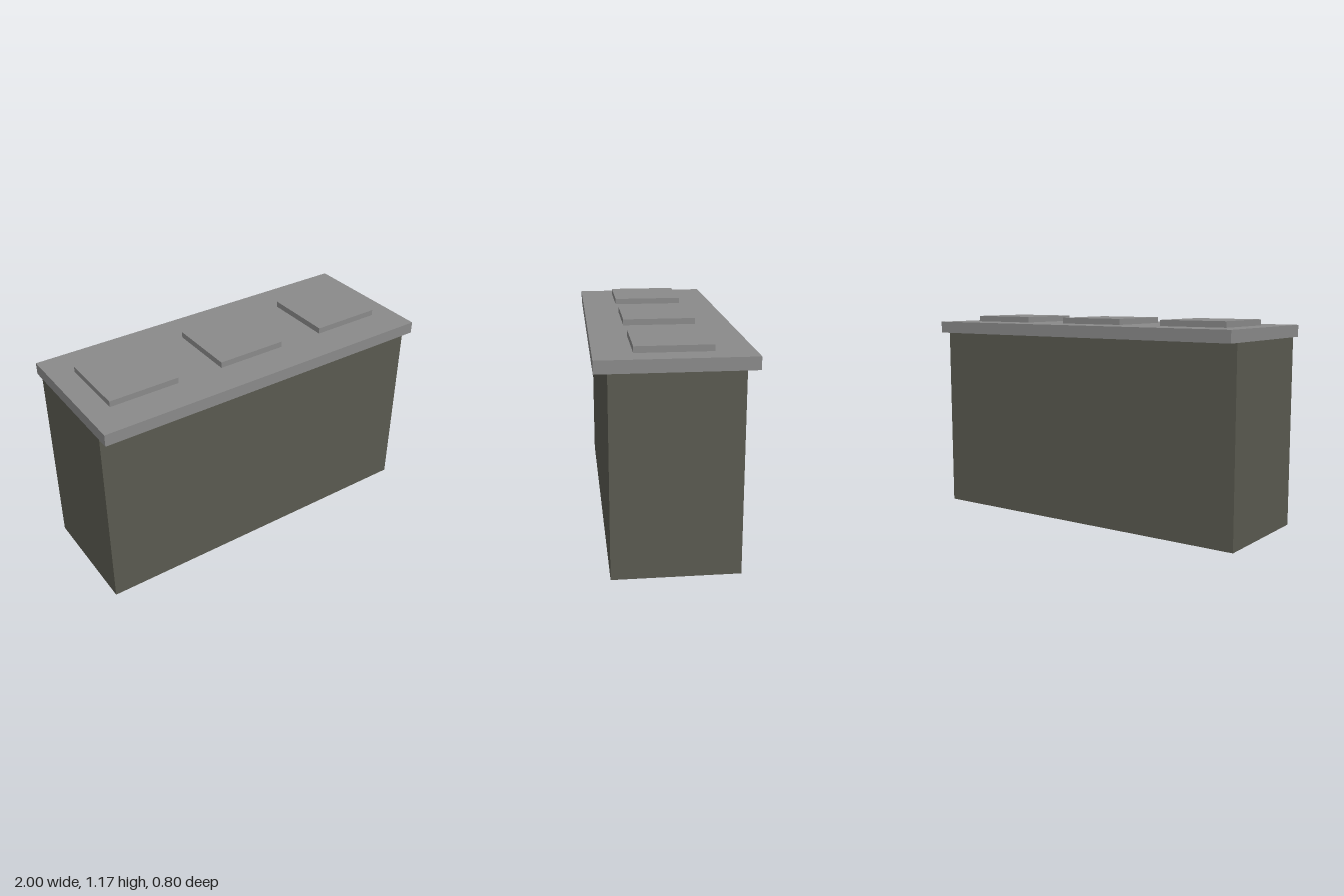
import * as THREE from 'three';

const slabGrey = new THREE.MeshStandardMaterial({ color: 0x8a8a8a });
slabGrey.name = 'slab grey';
const bodyOlive = new THREE.MeshStandardMaterial({ color: 0x5a5a50 });
bodyOlive.name = 'body olive grey';

// Box standing on the height y
function block(name, material, width, height, depth, x, y) {
  const mesh = new THREE.Mesh(new THREE.BoxGeometry(width, height, depth), material);
  mesh.name = name;
  mesh.position.set(x, y + height / 2, 0);
  return mesh;
}

export function createModel() {
  const model = new THREE.Group();
  model.name = 'counter';

  // Solid body, flush with the top at both ends
  model.add(block('body', bodyOlive, 2, 1.0667, 0.6667, 0, 0));

  // Top slab overhanging front and back
  model.add(block('topSlab', slabGrey, 2, 0.0667, 0.8, 0, 1.0667));

  // Three square raised pads
  ['rightPad', 'middlePad', 'leftPad'].forEach((name, i) => {
    model.add(block(name, slabGrey, 0.4, 0.0333, 0.4, (i - 1) * 0.6667, 1.1333));
  });

  return model;
}
